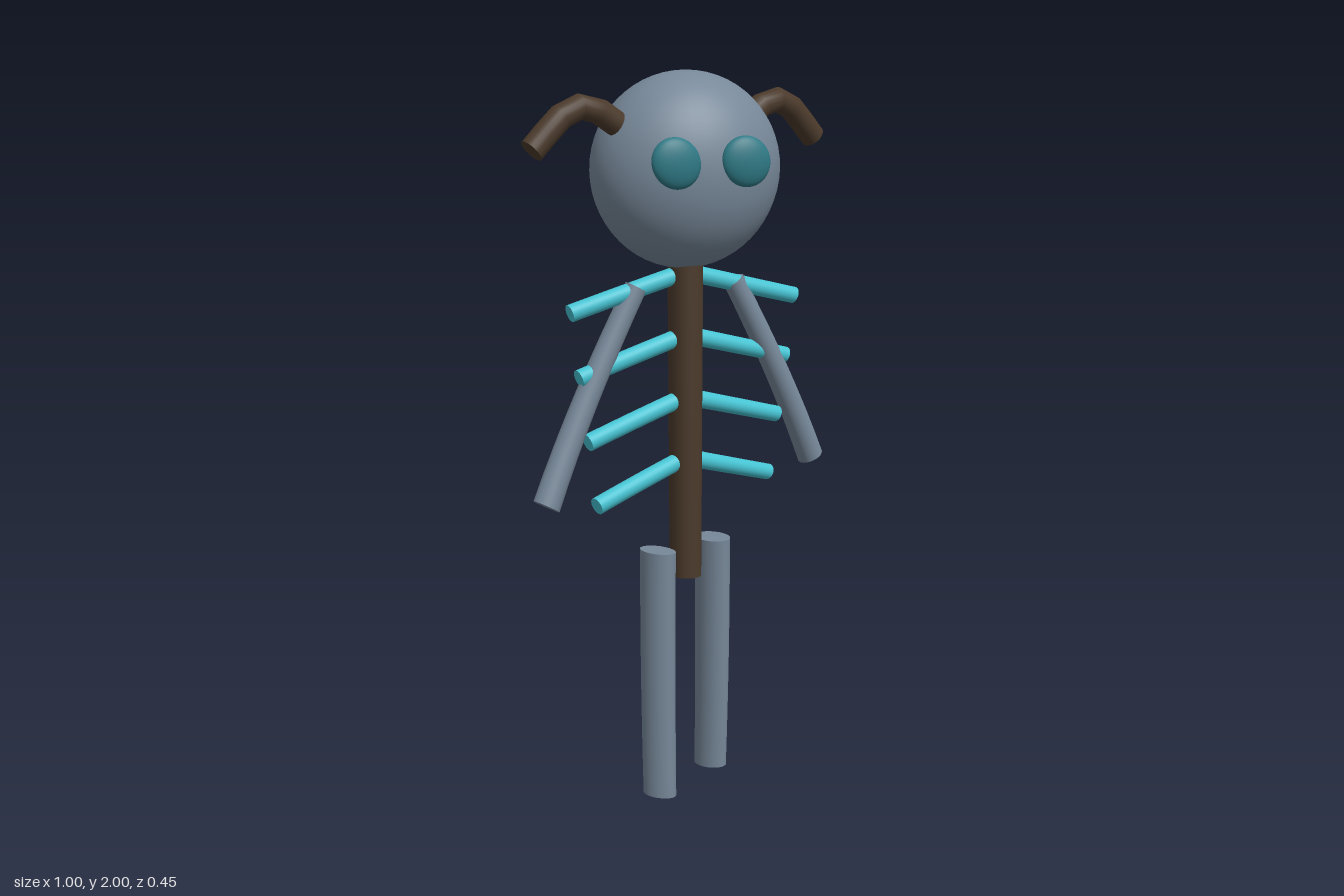
import * as THREE from 'three';

const V = (x, y, z = 0) => new THREE.Vector3(x, y, z);
const UP = V(0, 1);
const AXIS_Z = -0.02; // depth of the body's vertical twist axis

const mat = (color) => new THREE.MeshStandardMaterial({ color });

// Turn every vertex about the vertical axis, by an angle growing with height
function twist(geometry) {
  const pos = geometry.attributes.position;
  const nor = geometry.attributes.normal;
  const p = V(0, 0), n = V(0, 0);
  for (let i = 0; i < pos.count; i++) {
    p.fromBufferAttribute(pos, i);
    n.fromBufferAttribute(nor, i);
    const angle = -THREE.MathUtils.degToRad(21) * (p.y - 0.98);
    p.applyAxisAngle(UP, angle);
    n.applyAxisAngle(UP, angle);
    pos.setXYZ(i, p.x, p.y, p.z + AXIS_Z);
    nor.setXYZ(i, n.x, n.y, n.z);
  }
  return geometry;
}

// Tapered rod from a to b, optionally deeper in z
function rod(a, b, ra, rb, depth = 1) {
  const dir = b.clone().sub(a);
  const g = new THREE.CylinderGeometry(rb, ra, dir.length(), 24, 8);
  g.scale(1, 1, depth);
  g.applyQuaternion(new THREE.Quaternion().setFromUnitVectors(UP, dir.normalize()));
  const mid = a.clone().add(b).multiplyScalar(0.5);
  return twist(g.translate(mid.x, mid.y, mid.z));
}

function ellipsoid(center, rx, ry, rz) {
  const g = new THREE.SphereGeometry(1, 40, 28).scale(rx, ry, rz);
  return twist(g.translate(center.x, center.y, center.z));
}

export function createModel() {
  const model = new THREE.Group();
  const skin = mat(0x778899);
  const brown = mat(0x4b3a2b);
  const cyan = mat(0x46c3d2);
  const teal = mat(0x2f7a86);

  const add = (name, geometry, material) => {
    const mesh = new THREE.Mesh(geometry, material);
    mesh.name = name;
    model.add(mesh);
    return mesh;
  };

  add('head', ellipsoid(V(0, 1.737), 0.263, 0.263, 0.198), skin);
  add('spine', rod(V(0, 0.61), V(0, 1.5), 0.041, 0.047, 1.15), brown);

  for (const s of [1, -1]) {
    const side = s > 0 ? 'left' : 'right';

    add(side + 'Eye', ellipsoid(V(s * 0.097, 1.77, 0.193), 0.067, 0.067, 0.026), teal);
    add(side + 'Arm', rod(V(s * 0.15, 1.43), V(s * 0.47, 0.883), 0.03, 0.036), skin);
    add(side + 'Leg', rod(V(s * 0.135, 0.002), V(s * 0.104, 0.7), 0.036, 0.042, 1.38), skin);

    // Four drooping ribs, shorter towards the hips
    for (let i = 0; i < 4; i++) {
      const y = 1.452 - i * 0.172;
      add(side + 'Rib' + (i + 1),
        rod(V(s * 0.02, y + 0.005), V(s * (0.347 - i * 0.013), y - 0.078), 0.024, 0.023), cyan);
    }

    // Curved horn with closed ends; it does not follow the body twist
    const horn = new THREE.Group();
    horn.name = side + 'Horn';
    const path = new THREE.CatmullRomCurve3([
      V(s * 0.22, 1.866, -0.027), V(s * 0.303, 1.912, -0.032),
      V(s * 0.366, 1.9, -0.037), V(s * 0.47, 1.805, -0.045),
    ]);
    const tube = new THREE.Mesh(new THREE.TubeGeometry(path, 5, 0.034, 20), brown);
    tube.name = 'hornTube';
    horn.add(tube);
    for (const t of [0, 1]) {
      const cap = new THREE.Mesh(new THREE.CircleGeometry(0.034, 20), brown);
      cap.name = t ? 'hornTip' : 'hornBase';
      cap.position.copy(path.getPointAt(t));
      cap.quaternion.setFromUnitVectors(V(0, 0, 1), path.getTangentAt(t).multiplyScalar(t ? 1 : -1));
      horn.add(cap);
    }
    model.add(horn);
  }
  return model;
}
